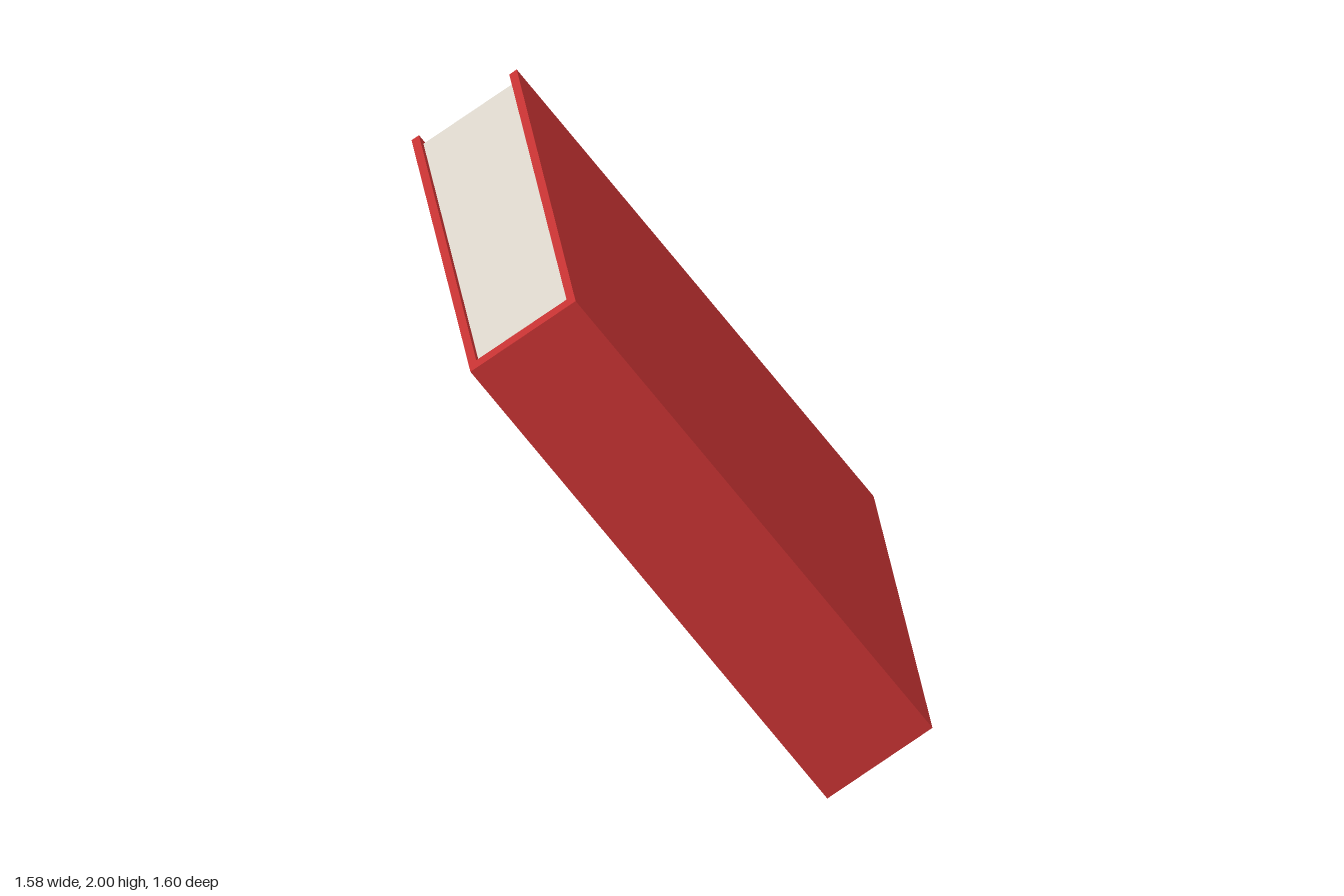
import * as THREE from 'three';

export function createModel() {
  const model = new THREE.Group();
  model.name = 'leaningBook';

  const coverRed = new THREE.MeshStandardMaterial({ color: 0xc63232 });
  coverRed.name = 'coverRed';
  const paper = new THREE.MeshStandardMaterial({ color: 0xdbd5cb });
  paper.name = 'paper';

  // Book sizes before leaning: thickness along x, height along y, depth along z
  const thickness = 0.438, height = 2.134, depth = 1.6;
  const board = 0.031, spineDepth = 0.045, recess = 0.02, foreEdge = 0.032;
  const inner = thickness - 2 * board;

  const book = new THREE.Group();
  book.name = 'book';
  const addBox = (name, material, size, position) => {
    const mesh = new THREE.Mesh(new THREE.BoxGeometry(...size), material);
    mesh.name = name;
    mesh.position.set(...position);
    book.add(mesh);
  };

  // Two cover boards
  for (const side of [-1, 1]) {
    addBox(side < 0 ? 'rightCover' : 'leftCover', coverRed,
      [board, height, depth], [side * (thickness - board) / 2, 0, 0]);
  }

  // Spine joins the boards at the front
  addBox('spine', coverRed, [inner, height, spineDepth], [0, 0, (depth - spineDepth) / 2]);

  // Page block, set back from the cover edges
  addBox('pages', paper,
    [inner, height - 2 * recess, depth - spineDepth - foreEdge],
    [0, 0, (foreEdge - spineDepth) / 2]);

  // Lean the book so it rests on one lower corner
  book.rotation.z = THREE.MathUtils.degToRad(34.85);
  book.position.y = 1;
  model.add(book);
  return model;
}
